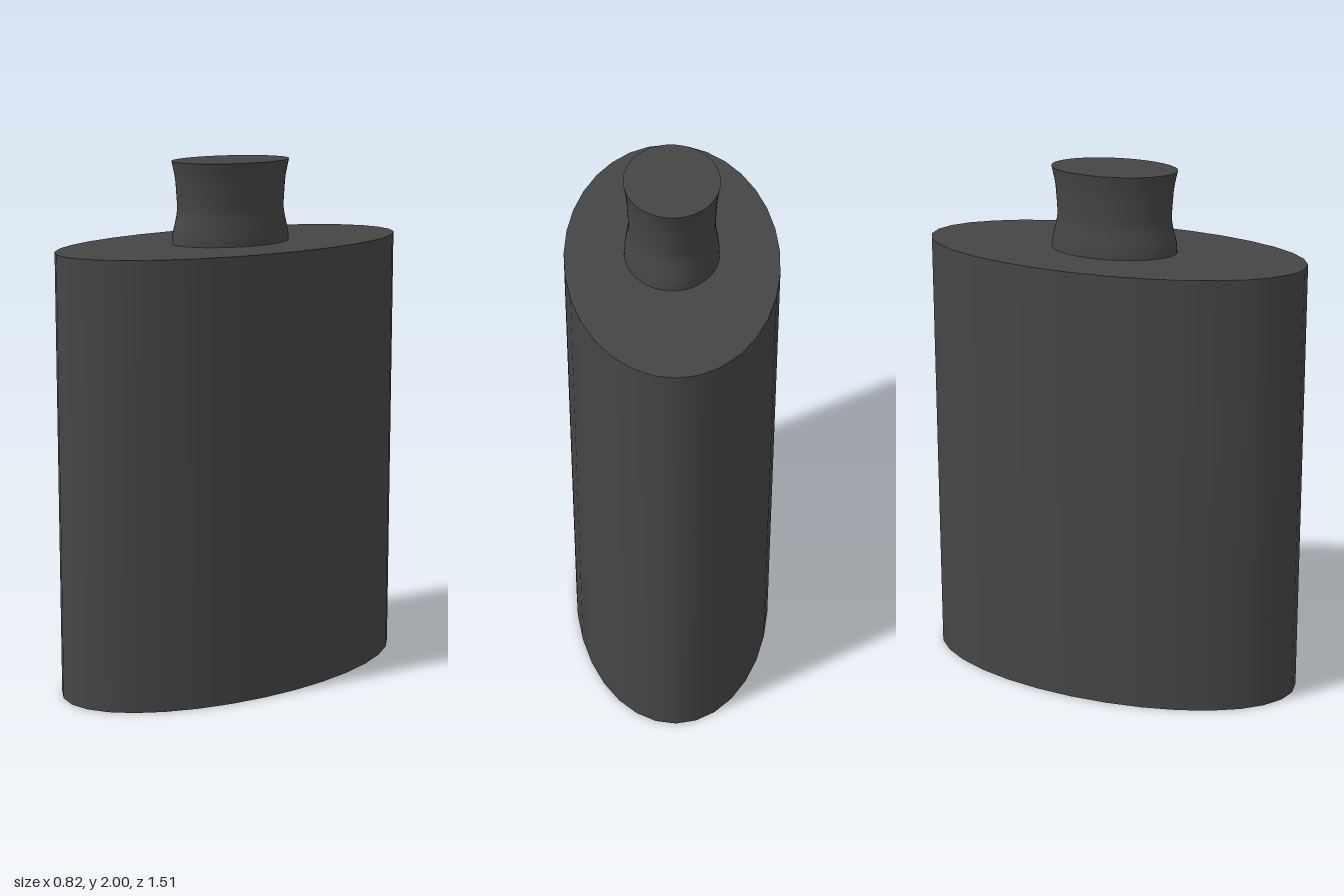
import * as THREE from 'three';

export function createModel() {
  const model = new THREE.Group();
  model.name = 'flask';
  const charcoal = new THREE.MeshStandardMaterial({ color: 0x454545 });
  charcoal.name = 'charcoal';

  const add = (name, geometry, parent) => {
    const mesh = new THREE.Mesh(geometry, charcoal);
    mesh.name = name;
    parent.add(mesh);
    return mesh;
  };

  // Both parts share one slightly turned elliptical plan
  const turned = new THREE.Group();
  turned.name = 'turnedFlask';
  turned.rotation.y = -0.149;
  model.add(turned);

  // Straight elliptical body
  const bodyHeight = 1.69;
  const body = new THREE.CylinderGeometry(1, 1, bodyHeight, 32);
  body.scale(0.398, 1, 0.763);
  body.translate(0, bodyHeight / 2, 0);
  add('body', body, turned);

  // Waisted neck: height and relative radius
  const neck = new THREE.Group();
  neck.name = 'neck';
  turned.add(neck);
  const profile = new THREE.SplineCurve([
    [1.0, 1.69], [0.985, 1.73], [0.93, 1.785], [0.91, 1.825],
    [0.925, 1.89], [0.945, 1.94], [1.0, 2.0],
  ].map(([r, y]) => new THREE.Vector2(r, y)));
  const wall = new THREE.LatheGeometry(profile.getPoints(24), 64);
  wall.scale(0.176, 1, 0.248);
  add('neckWall', wall, neck);

  // Flat closed top of the neck
  const cap = new THREE.CircleGeometry(1, 64);
  cap.rotateX(-Math.PI / 2);
  cap.scale(0.176, 1, 0.248);
  cap.translate(0, 2, 0);
  add('neckTop', cap, neck);

  return model;
}
